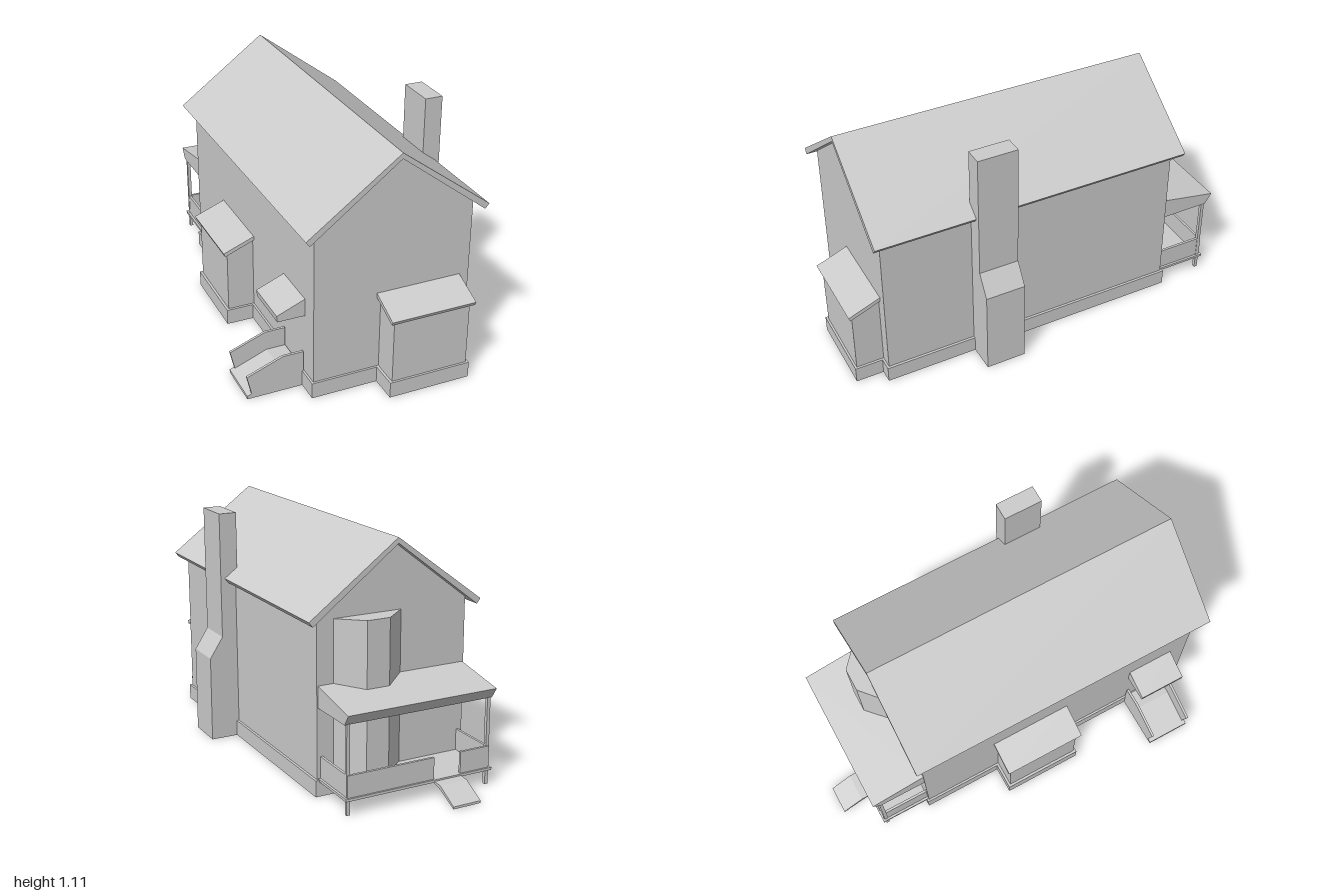
import * as THREE from 'three';

const material = new THREE.MeshStandardMaterial({ color: 0xcccccc, flatShading: true, side: THREE.DoubleSide });

// Extrude an outline along one axis. Outlines: z -> [x, y], x -> [z, y], y -> [x, z].
function prism(axis, points, from, to, hole) {
  const flip = ([a, b]) =>
    axis === 'x' ? new THREE.Vector2(-a, b) : axis === 'y' ? new THREE.Vector2(a, -b) : new THREE.Vector2(a, b);
  const shape = new THREE.Shape(points.map(flip));
  if (hole) shape.holes.push(new THREE.Path(hole.map(flip)));
  const geo = new THREE.ExtrudeGeometry(shape, { depth: to - from, bevelEnabled: false });
  geo.translate(0, 0, from);
  if (axis === 'x') geo.rotateY(Math.PI / 2);
  if (axis === 'y') geo.rotateX(-Math.PI / 2);
  return geo;
}

// Drop the downward faces so the shell is hollow from below.
function openBottom(geo) {
  const p = geo.attributes.position, n = geo.attributes.normal, kept = [];
  for (let i = 0; i < p.count; i += 3) {
    if (n.getY(i) < -0.99) continue;
    for (let j = i; j < i + 3; j++) kept.push(p.getX(j), p.getY(j), p.getZ(j));
  }
  const out = new THREE.BufferGeometry();
  out.setAttribute('position', new THREE.Float32BufferAttribute(kept, 3));
  out.computeVertexNormals();
  return out;
}

function box(x0, x1, y0, y1, z0, z1) {
  return new THREE.BoxGeometry(x1 - x0, y1 - y0, z1 - z0)
    .translate((x0 + x1) / 2, (y0 + y1) / 2, (z0 + z1) / 2);
}

const rect = (a0, a1, b0, b1) => [[a0, b0], [a1, b0], [a1, b1], [a0, b1]];

export function createModel() {
  const house = new THREE.Group();
  house.name = 'house';
  const add = (name, geo, parent = house) => {
    const mesh = new THREE.Mesh(geo, material);
    mesh.name = name;
    parent.add(mesh);
  };
  const group = (name) => {
    const g = new THREE.Group();
    g.name = name;
    house.add(g);
    return g;
  };

  // Main walls with gables
  add('walls', openBottom(prism('z',
    [[-0.31, 0.07], [0.43, 0.07], [0.43, 0.81], [0.06, 1.088], [-0.31, 0.81]], -0.6, 0.85)));

  // Gable roof: one bent slab
  add('roof', prism('z',
    [[0.06, 1.11], [-0.365, 0.795], [-0.347, 0.772], [0.06, 1.084], [0.467, 0.772], [0.485, 0.795]], -0.64, 0.89));

  // Foundation skirts under the house and both bump-outs
  const t = 0.012;
  for (const [name, x0, x1, z0, z1] of [
    ['houseFoundation', -0.32, 0.442, -0.61, 0.86],
    ['frontFoundation', -0.01, 0.378, 0.85, 0.99],
    ['sideFoundation', -0.45, -0.31, -0.217, 0.172],
  ]) {
    add(name, prism('y', rect(x0, x1, z0, z1), 0, 0.075, rect(x0 + t, x1 - t, z0 + t, z1 - t)));
  }

  // Front bump-out with lean-to roof
  add('frontBumpOut', openBottom(prism('x', [[0.85, 0.07], [0.98, 0.07], [0.98, 0.38], [0.85, 0.435]], 0.003, 0.367)));
  add('frontBumpOutRoof', prism('x', [[0.85, 0.45], [1.0, 0.39], [0.993, 0.373], [0.85, 0.43]], -0.016, 0.386));

  // Left-hand bump-out with lean-to roof
  add('sideBumpOut', openBottom(prism('z', [[-0.31, 0.07], [-0.438, 0.07], [-0.438, 0.378], [-0.31, 0.43]], -0.205, 0.16)));
  add('sideBumpOutRoof', prism('z', [[-0.31, 0.445], [-0.46, 0.386], [-0.453, 0.368], [-0.31, 0.426]], -0.225, 0.175));

  // Side entrance: ramp, two side panels and a wedge canopy
  const entrance = group('sideEntrance');
  add('ramp', prism('z',
    [[-0.315, 0], [-0.315, 0.083], [-0.405, 0.083], [-0.578, 0.015], [-0.578, 0]], 0.54, 0.755), entrance);
  for (const z of [0.54, 0.743]) {
    add('rampPanel', prism('z',
      [[-0.315, 0.08], [-0.315, 0.175], [-0.41, 0.175], [-0.578, 0.112], [-0.557, 0.02], [-0.405, 0.08]], z, z + 0.012), entrance);
  }
  add('canopy', prism('z', [[-0.31, 0.36], [-0.31, 0.443], [-0.44, 0.39], [-0.437, 0.36]], 0.53, 0.76), entrance);

  // Chimney with a sloped shoulder
  add('chimney', openBottom(prism('z',
    [[0.42, 0], [0.572, 0], [0.57, 0.41], [0.505, 0.51], [0.505, 1.105], [0.42, 1.105]], 0.235, 0.425)));

  // Back bay
  add('bay', prism('y', [[0.02, -0.6], [0.13, -0.695], [0.24, -0.695], [0.35, -0.6]], 0.08, 0.785));

  // Back porch
  const porch = group('porch');
  add('porchRoof', prism('x', [[-0.6, 0.5], [-0.868, 0.452], [-0.835, 0.402], [-0.6, 0.402]], -0.305, 0.425), porch);
  add('porchDeck', box(-0.305, 0.425, 0.068, 0.08, -0.85, -0.6), porch);
  for (const x of [-0.288, 0.408]) {
    add('porchPost', box(x - 0.008, x + 0.008, 0, 0.405, -0.838, -0.822), porch);
    add('sideRail', box(x - 0.006, x + 0.006, 0.08, 0.18, -0.84, -0.6), porch);
  }
  for (const [x0, x1] of [[-0.294, -0.145], [-0.01, 0.414]]) {
    add('backRail', box(x0, x1, 0.08, 0.18, -0.842, -0.83), porch);
  }
  add('porchRamp', prism('x',
    [[-0.845, 0.073], [-0.895, 0.07], [-1.0, 0.014], [-1.0, 0.003], [-0.895, 0.052], [-0.845, 0.064]], -0.145, -0.008), porch);

  return house;
}
